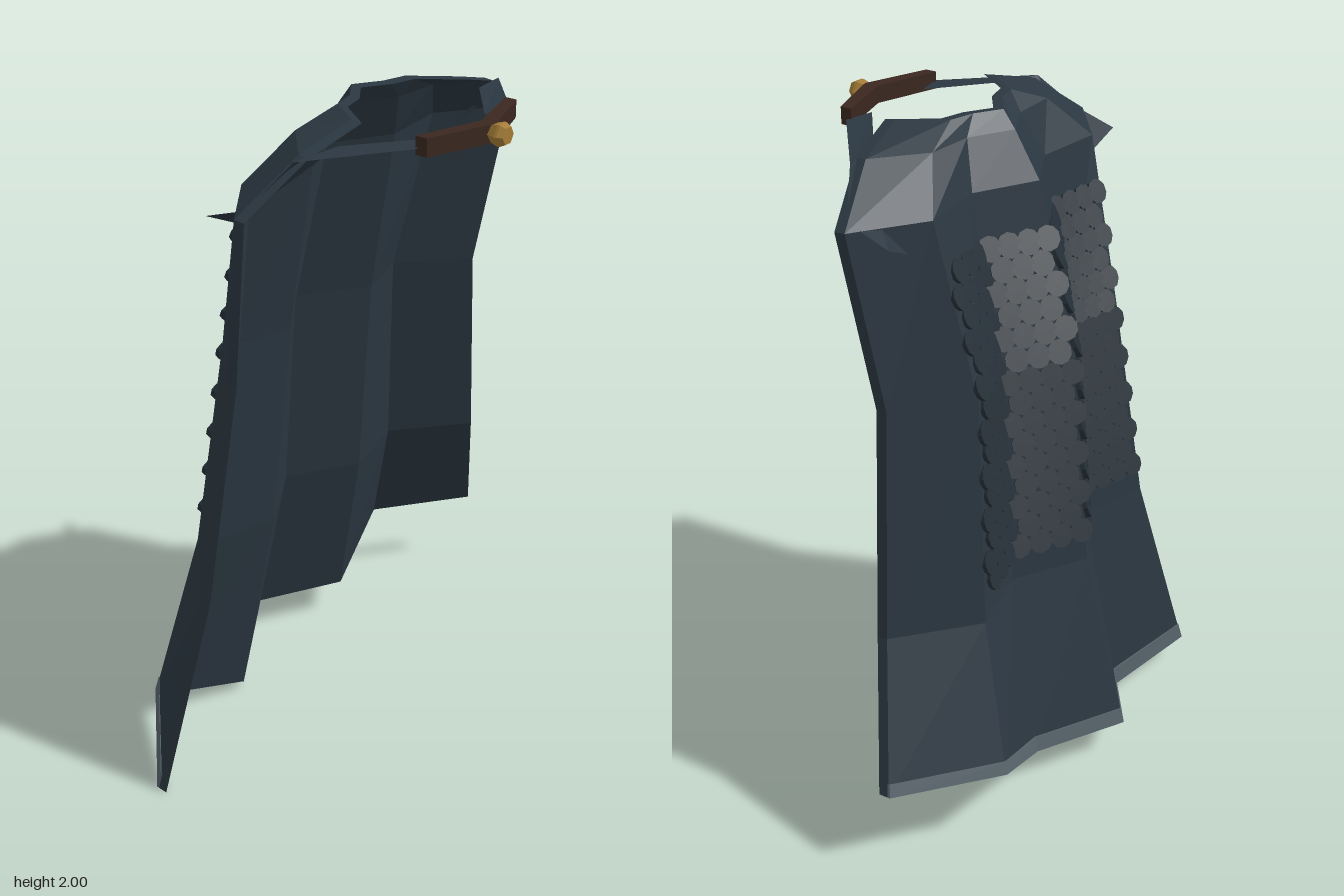
import * as THREE from 'three';

const MID = -0.04; // x of the collar's mirror line
const mat = (color, extra = {}) => new THREE.MeshStandardMaterial({ color, flatShading: true, ...extra });

// Pleated cloth: rows from hem to collar, seven fold lines each
const ROWS = [
  { x: [-0.8, -0.545, -0.28, -0.015, 0.25, 0.52, 0.79], y: [0.005, 0.095, 0.03, 0.125, 0.125, 0.26, 0.265], z: [-0.16, -0.41, -0.315, -0.488, -0.34, -0.405, -0.19] },
  { x: [-0.69, -0.465, -0.24, -0.025, 0.19, 0.415, 0.63], y: 0.67, z: [-0.045, -0.27, -0.2, -0.335, -0.21, -0.265, -0.08] },
  { x: [-0.59, -0.405, -0.22, -0.035, 0.155, 0.335, 0.52], y: 1.32, z: [-0.005, -0.19, -0.135, -0.27, -0.135, -0.19, -0.02] },
  { x: [-0.63, -0.435, -0.215, -0.04, 0.14, 0.355, 0.55], y: 1.82, z: [0.08, -0.07, -0.045, -0.138, -0.04, -0.065, 0.07] },
  { x: [-0.45, -0.31, -0.165, -0.037, 0.09, 0.235, 0.37], y: 1.95, z: [0.14, 0.01, 0.005, -0.06, 0.01, 0.02, 0.135] },
  { x: [-0.27, -0.19, -0.115, -0.037, 0.04, 0.115, 0.2], y: 2.0, z: [0.165, 0.055, 0.035, -0.022, 0.025, 0.045, 0.165] },
].map(r => r.x.map((x, i) => new THREE.Vector3(x, Array.isArray(r.y) ? r.y[i] : r.y, r.z[i])));

// Closed slab between an outer surface and the same surface moved by `inset`
function slab(rows, inset) {
  const n = rows[0].length;
  const loops = rows.map(r => [...r, ...r.map(p => p.clone().add(inset)).reverse()]);
  const pos = [];
  const quad = (a, b, c, d) => [a, b, c, a, c, d].forEach(p => pos.push(p.x, p.y, p.z));
  for (let k = 0; k + 1 < loops.length; k++) {
    const lo = loops[k], hi = loops[k + 1];
    for (let i = 0; i < 2 * n; i++) {
      const j = (i + 1) % (2 * n);
      quad(lo[j], lo[i], hi[i], hi[j]);
    }
  }
  const bottom = loops[0], top = loops[loops.length - 1];
  for (let i = 0; i + 1 < n; i++) {
    const a = 2 * n - 1 - i;
    quad(bottom[i], bottom[i + 1], bottom[a - 1], bottom[a]);
    quad(top[a], top[a - 1], top[i + 1], top[i]);
  }
  const g = new THREE.BufferGeometry();
  g.setAttribute('position', new THREE.Float32BufferAttribute(pos, 3));
  g.computeVertexNormals();
  return g;
}

// Point on the outer cloth at fold position u and height y (between the second and fourth rows)
function clothPoint(u, y) {
  const k = y < 1.32 ? 1 : 2;
  const t = (y - ROWS[k][0].y) / (ROWS[k + 1][0].y - ROWS[k][0].y);
  const i = Math.min(5, Math.floor(u));
  const along = row => row[i].clone().lerp(row[i + 1], u - i);
  return along(ROWS[k]).lerp(along(ROWS[k + 1]), t);
}

// Flat ribbon between two edge lines
function ribbon(left, right) {
  const pos = [], index = [];
  left.forEach((p, i) => {
    pos.push(...p, ...right[i]);
    if (i) index.push(2 * i - 2, 2 * i - 1, 2 * i, 2 * i - 1, 2 * i + 1, 2 * i);
  });
  const g = new THREE.BufferGeometry();
  g.setAttribute('position', new THREE.Float32BufferAttribute(pos, 3));
  g.setIndex(index);
  g.computeVertexNormals();
  return g;
}

export function createModel() {
  const model = new THREE.Group();
  const cloth = mat(0x2b3741), trim = mat(0x56626a), scaleMat = mat(0x252f37);
  const leather = mat(0x3a2720), gold = mat(0xa47c36);
  const strapMat = mat(0x2b3741, { side: THREE.DoubleSide });
  const add = (name, geo, material, parent = model) => {
    const m = new THREE.Mesh(geo, material);
    m.name = name;
    parent.add(m);
    return m;
  };

  add('cape', slab(ROWS, new THREE.Vector3(0, -0.003, 0.033)), cloth);

  // Lighter band along the outside of the hem
  const out = new THREE.Vector3(0, 0, -0.004);
  const hem = [0, 0.085].map(t => ROWS[0].map((p, i) => p.clone().lerp(ROWS[1][i], t).add(out)));
  add('hemTrim', slab(hem, new THREE.Vector3(0, 0, 0.008)), trim);

  // Overlapping round scales on the back
  const scales = new THREE.Group();
  scales.name = 'backScales';
  model.add(scales);
  const disc = new THREE.CylinderGeometry(0.037, 0.033, 0.014, 10).rotateX(Math.PI / 2);
  const perRow = 14, rowCount = 15;
  for (let r = 0; r < rowCount; r++) {
    const y = 0.775 + r * 0.0635;
    for (let c = 0; c < perRow; c++) {
      const u = 1.06 + (c + (r % 2 ? 0.75 : 0.25)) * (3.88 / perRow);
      const p = clothPoint(u, y);
      const e = 0.01;
      const across = clothPoint(u + e, y).sub(clothPoint(u - e, y)).normalize();
      const up = clothPoint(u, y + e).sub(clothPoint(u, y - e)).normalize();
      const normal = up.clone().cross(across).normalize();
      if (normal.z > 0) normal.negate();
      const upright = normal.clone().cross(across).normalize();
      if (upright.y < 0) upright.negate();
      const side = upright.clone().cross(normal);
      const s = add('scale', disc, scaleMat, scales);
      s.quaternion.setFromRotationMatrix(new THREE.Matrix4().makeBasis(side, upright, normal));
      s.rotateX(-0.25); // lower rim stands away from the cloth
      s.position.copy(p).addScaledVector(normal, 0.006);
    }
  }

  // Straps over the shoulders, ends poking out behind
  const inner = [[0.12, 1.957, 0.335], [0.31, 1.955, 0.185], [0.44, 1.85, 0.09], [0.455, 1.74, -0.03]];
  const outer = [[0.21, 1.957, 0.355], [0.45, 1.945, 0.155], [0.555, 1.835, 0.09], [0.56, 1.79, -0.045]];
  for (const s of [-1, 1]) {
    const flip = line => line.map(([x, y, z]) => [MID + s * x, y, z]);
    const [a, b] = s > 0 ? [outer, inner] : [inner, outer];
    add(s > 0 ? 'leftStrap' : 'rightStrap', ribbon(flip(a), flip(b)), strapMat);
  }

  // Bent leather clasp bar
  const bar = new THREE.Shape([
    [-0.2, 0.345], [0, 0.405], [0.2, 0.345], [0.2, 0.38], [0, 0.45], [-0.2, 0.38],
  ].map(([x, z]) => new THREE.Vector2(MID + x, -z)));
  const barGeo = new THREE.ExtrudeGeometry(bar, { depth: 0.05, bevelEnabled: false }).rotateX(-Math.PI / 2);
  add('claspBar', barGeo, leather).position.y = 1.937;

  // Six-sided stud
  const studGeo = new THREE.LatheGeometry(
    [[0, 0], [0.024, 0], [0.033, 0.028], [0.033, 0.036], [0.025, 0.052], [0, 0.052]].map(p => new THREE.Vector2(...p)), 6,
  ).rotateX(Math.PI / 2).rotateZ(Math.PI / 6);
  add('claspStud', studGeo, gold).position.set(MID, 1.963, 0.437);

  return model;
}
